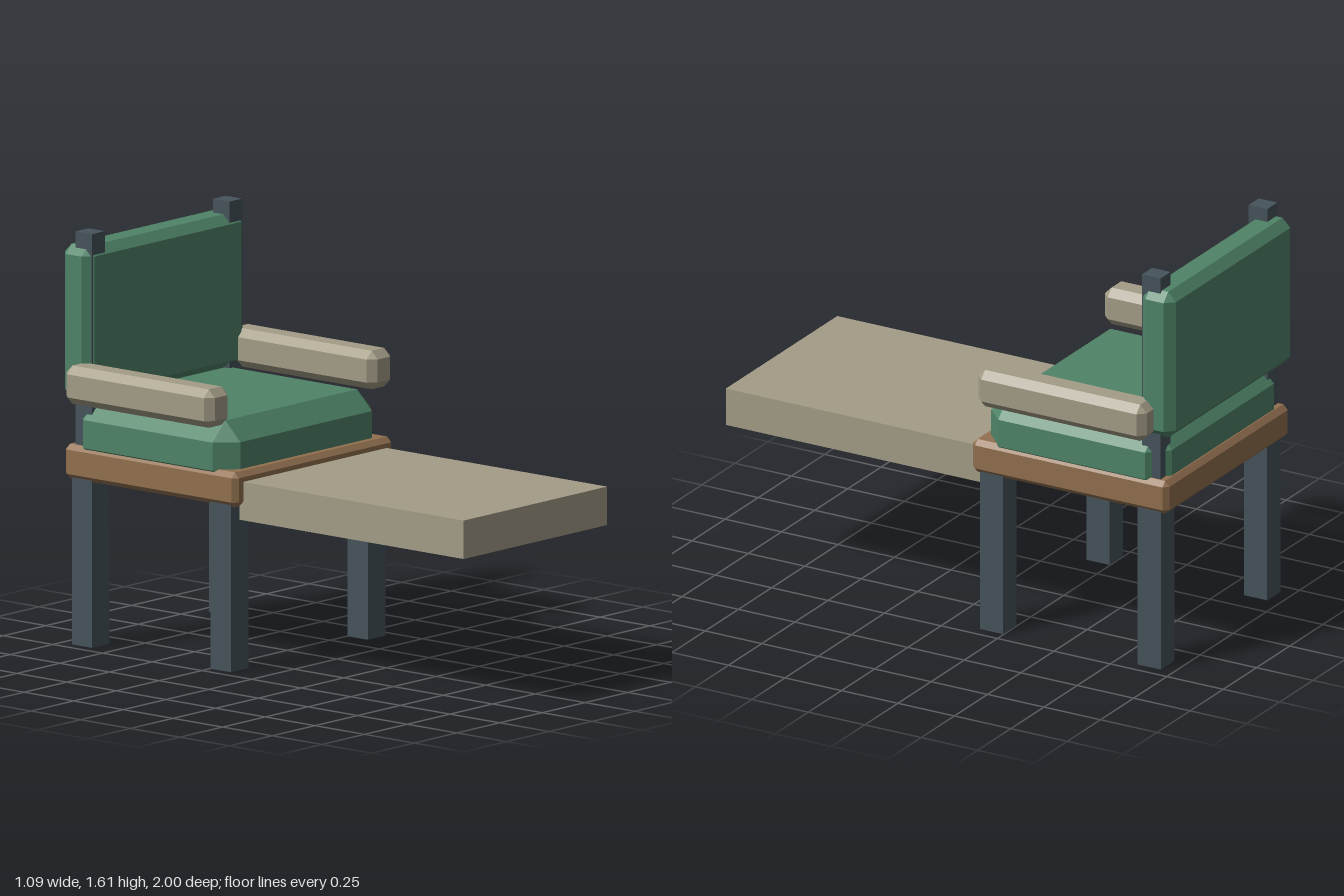
import * as THREE from 'three';
import { ConvexGeometry } from 'three/addons/geometries/ConvexGeometry.js';

const material = (color) => new THREE.MeshStandardMaterial({ color, flatShading: true });

// Box given by its min and max corners; a bevel cuts every edge and corner flat
function block(name, mat, min, max, bevel = 0) {
  const size = max.map((v, i) => v - min[i]);
  const center = max.map((v, i) => (v + min[i]) / 2);
  let geometry;
  if (bevel > 0) {
    const points = [];
    for (const sx of [-1, 1]) for (const sy of [-1, 1]) for (const sz of [-1, 1]) {
      for (let outer = 0; outer < 3; outer++) {
        const p = size.map((s, i) => s / 2 - (i === outer ? 0 : bevel));
        points.push(new THREE.Vector3(sx * p[0], sy * p[1], sz * p[2]));
      }
    }
    geometry = new ConvexGeometry(points);
  } else {
    geometry = new THREE.BoxGeometry(...size);
  }
  const mesh = new THREE.Mesh(geometry, mat);
  mesh.name = name;
  mesh.position.set(...center);
  return mesh;
}

export function createModel() {
  const chair = new THREE.Group();
  chair.name = 'chair';

  const green = material(0x4f8468);
  const wood = material(0x92704f);
  const tan = material(0xa39c87);
  const steel = material(0x46535b);

  // Seat, cushions and the long leg rest in front
  chair.add(
    block('seatFrame', wood, [-0.465, 0.645, -0.98], [0.465, 0.78, -0.11], 0.02),
    block('seatCushion', green, [-0.46, 0.7, -0.955], [0.46, 0.96, -0.155], 0.075),
    block('backCushion', green, [-0.465, 0.955, -1], [0.465, 1.557, -0.85], 0.035),
    block('legRest', tan, [-0.42, 0.592, -0.13], [0.42, 0.742, 1]),
  );

  // Legs, back posts and armrests on both sides
  for (const [side, s] of [['left', 1], ['right', -1]]) {
    const pair = (name, mat, [x0, y0, z0], [x1, y1, z1], bevel) => {
      const xs = [s * x0, s * x1].sort((a, b) => a - b);
      chair.add(block(side + name, mat, [xs[0], y0, z0], [xs[1], y1, z1], bevel));
    };
    pair('FrontLeg', steel, [0.35, 0, -0.247], [0.452, 0.66, -0.145]);
    pair('BackLeg', steel, [0.35, 0, -0.945], [0.452, 0.66, -0.843]);
    pair('BackPost', steel, [0.364, 0.66, -0.937], [0.44, 1.61, -0.855]);
    pair('Armrest', tan, [0.41, 0.955, -0.92], [0.543, 1.105, -0.173], 0.03);
  }
  return chair;
}
